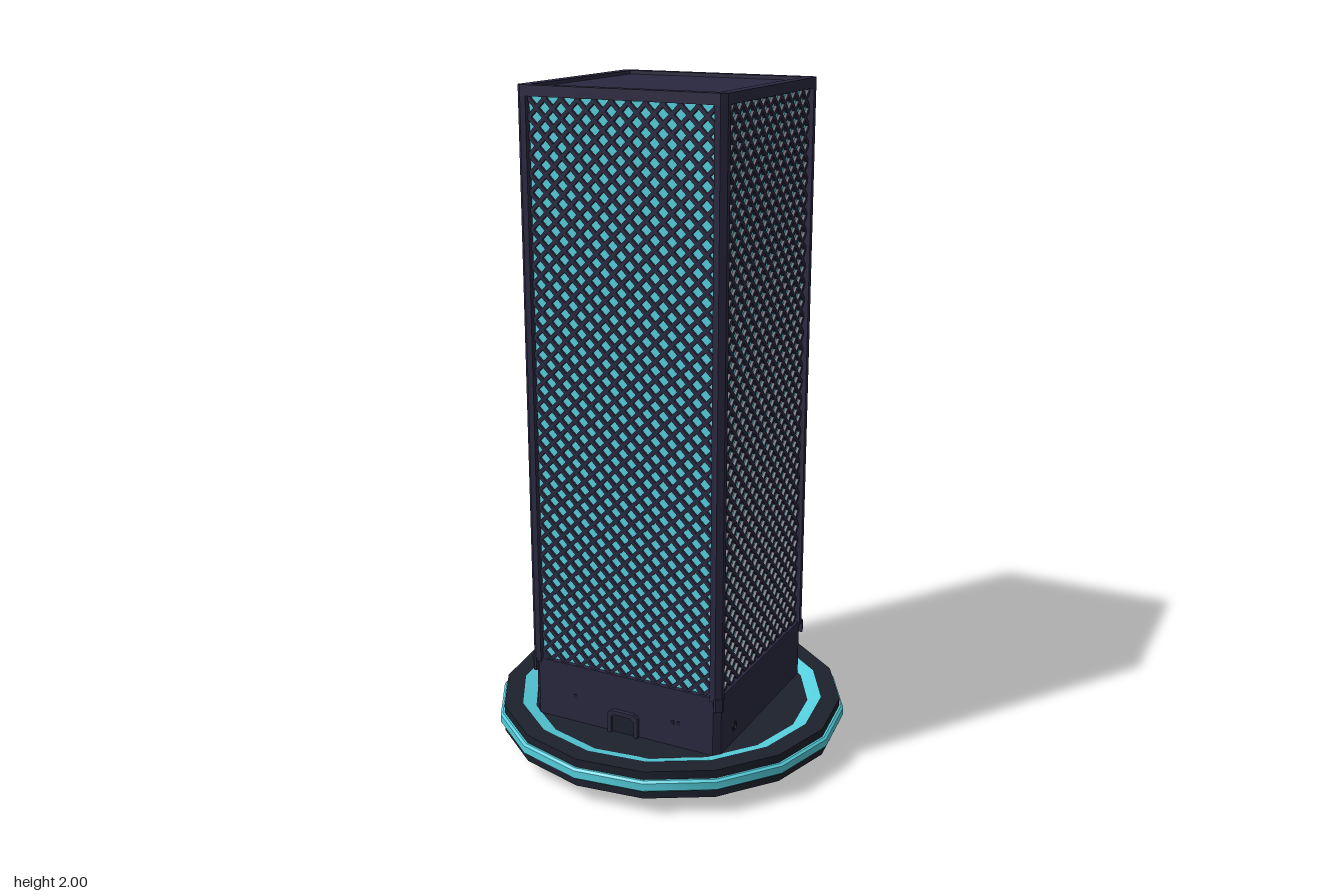
import * as THREE from 'three';
import { toCreasedNormals } from 'three/addons/utils/BufferGeometryUtils.js';

const mat = (color) => new THREE.MeshStandardMaterial({ color });
const shellMat = mat(0x2a2840);
const darkMat = mat(0x1d212d);
const glowMat = mat(0x56d0de);
const footMat = mat(0x50465e);

const TURN = THREE.MathUtils.degToRad(-4.3); // the base polygon is turned slightly
const HALF = 0.313;                          // half width of the tower

function add(parent, name, geometry, material, x = 0, y = 0, z = 0) {
  const mesh = new THREE.Mesh(geometry, material);
  mesh.name = name;
  mesh.position.set(x, y, z);
  parent.add(mesh);
  return mesh;
}

function box(parent, name, material, w, h, d, x, y, z) {
  return add(parent, name, new THREE.BoxGeometry(w, h, d), material, x, y, z);
}

// sixteen-sided turned part; profile runs from the underside, outward, then up and in
function turned(parent, name, material, profile) {
  const pts = profile.map(([r, y]) => new THREE.Vector2(r, y));
  const geo = toCreasedNormals(new THREE.LatheGeometry(pts, 16, TURN), 0.45);
  return add(parent, name, geo, material);
}

function chamferedSquare(h, c) {
  return new THREE.Shape([
    [h, -h + c], [h, h - c], [h - c, h], [-h + c, h],
    [-h, h - c], [-h, -h + c], [-h + c, -h], [h - c, -h],
  ].map(([x, y]) => new THREE.Vector2(x, y)));
}

function squareHole(h) {
  return new THREE.Path([[h, h], [h, -h], [-h, -h], [-h, h]].map(([x, y]) => new THREE.Vector2(x, y)));
}

// upright prism from a plan shape
function prism(shape, y0, y1) {
  const geo = new THREE.ExtrudeGeometry(shape, { depth: y1 - y0, bevelEnabled: false });
  return geo.rotateX(-Math.PI / 2).translate(0, y0, 0);
}

// crossed diagonal bars, clipped to the panel rectangle
function lattice(w, y0, y1) {
  const group = new THREE.Group();
  group.name = 'lattice';
  const pitch = 0.051, h = y1 - y0, a = w / 2;
  for (const s of [1, -1]) {
    // each bar follows y = c + s * x
    for (let c = -a + pitch / 2; c < h + a; c += pitch) {
      const xs = [(0 - c) / s, (h - c) / s].sort((p, q) => p - q);
      const xa = Math.max(-a, xs[0]), xb = Math.min(a, xs[1]);
      if (xb - xa < 0.004) continue;
      const mid = (xa + xb) / 2;
      const bar = box(group, 'latticeBar', shellMat, (xb - xa) * Math.SQRT2, 0.0115, 0.012,
        mid, y0 + c + s * mid, 0);
      bar.rotation.z = s * Math.PI / 4;
    }
  }
  return group;
}

function createBase(root) {
  const base = new THREE.Group();
  base.name = 'base';
  root.add(base);
  turned(base, 'foot', footMat, [[0.255, 0.025], [0.35, 0], [0.39, 0], [0.39, 0.06]]);
  const lens = add(base, 'underLight', new THREE.CircleGeometry(0.265, 32), glowMat, 0, 0.022, 0);
  lens.rotation.x = Math.PI / 2;
  turned(base, 'disc', darkMat, [[0.25, 0.055], [0.525, 0.055], [0.525, 0.14], [0.468, 0.14]]);
  turned(base, 'edgeLight', glowMat,
    [[0.52, 0.08], [0.531, 0.08], [0.538, 0.086], [0.538, 0.109], [0.531, 0.115], [0.52, 0.115]]);
  turned(base, 'ringLight', glowMat, [[0.468, 0.14], [0.427, 0.127]]);
  turned(base, 'discFloor', darkMat, [[0.427, 0.127], [0, 0.127]]);
}

function createTower(root) {
  const tower = new THREE.Group();
  tower.name = 'tower';
  root.add(tower);

  // solid plinth, glowing core and recessed roof
  add(tower, 'plinth', prism(chamferedSquare(HALF - 0.005, 0.018), 0.12, 0.31), shellMat);
  box(tower, 'glowCore', glowMat, 0.586, 1.68, 0.586, 0, 1.14, 0);
  const rim = chamferedSquare(HALF, 0.015);
  rim.holes.push(squareHole(0.28));
  add(tower, 'roofRim', prism(rim, 1.97, 2), shellMat);
  box(tower, 'roof', shellMat, 0.57, 0.015, 0.57, 0, 1.982, 0);

  // corner posts with a chamfered outer edge, and their collars
  const post = new THREE.Shape([
    [0.281, 0.281], [HALF, 0.281], [HALF, HALF - 0.015], [HALF - 0.015, HALF], [0.281, HALF],
  ].map(([x, y]) => new THREE.Vector2(x, y)));
  const postGeo = prism(post, 0.3, 1.98);
  const collar = new THREE.Shape([
    [0.295, 0.295], [0.317, 0.295], [0.317, 0.302], [0.302, 0.317], [0.295, 0.317],
  ].map(([x, y]) => new THREE.Vector2(x, y)));
  const collarGeo = prism(collar, 0.27, 0.31);

  // four matching sides
  for (let i = 0; i < 4; i++) {
    const side = new THREE.Group();
    side.name = 'side';
    side.rotation.y = i * Math.PI / 2;
    add(side, 'cornerPost', postGeo, shellMat);
    add(side, 'postCollar', collarGeo, shellMat);
    const mesh = lattice(0.566, 0.31, 1.97);
    mesh.position.z = 0.295;
    side.add(mesh);
    tower.add(side);
  }
}

function createDetails(root) {
  const details = new THREE.Group();
  details.name = 'plinthDetails';
  root.add(details);

  // raised arch-shaped socket frame on the front
  const arch = (w, h, c) => [[-w, 0], [w, 0], [w, h - c], [w - c, h], [-w + c, h], [-w, h - c]]
    .map(([x, y]) => new THREE.Vector2(x, y));
  const frame = new THREE.Shape(arch(0.05, 0.075, 0.012));
  frame.holes.push(new THREE.Path(arch(0.038, 0.062, 0.01).reverse()));
  add(details, 'socketFrame', new THREE.ExtrudeGeometry(frame, { depth: 0.016, bevelEnabled: false }),
    shellMat, 0, 0.125, 0.305);
  box(details, 'socketPlate', darkMat, 0.08, 0.06, 0.006, 0, 0.156, 0.308);

  // small indicators on the front and a button on the left side
  for (const [x, y] of [[-0.165, 0.21], [0.16, 0.203], [0.18, 0.203]]) {
    box(details, 'indicator', darkMat, 0.01, 0.012, 0.006, x, y, 0.307);
  }
  const button = add(details, 'sideButton', new THREE.TorusGeometry(0.012, 0.003, 6, 16), darkMat,
    0.308, 0.175, 0.2);
  button.rotation.y = Math.PI / 2;
}

export function createModel() {
  const root = new THREE.Group();
  root.name = 'latticeLamp';
  createBase(root);
  createTower(root);
  createDetails(root);
  return root;
}
